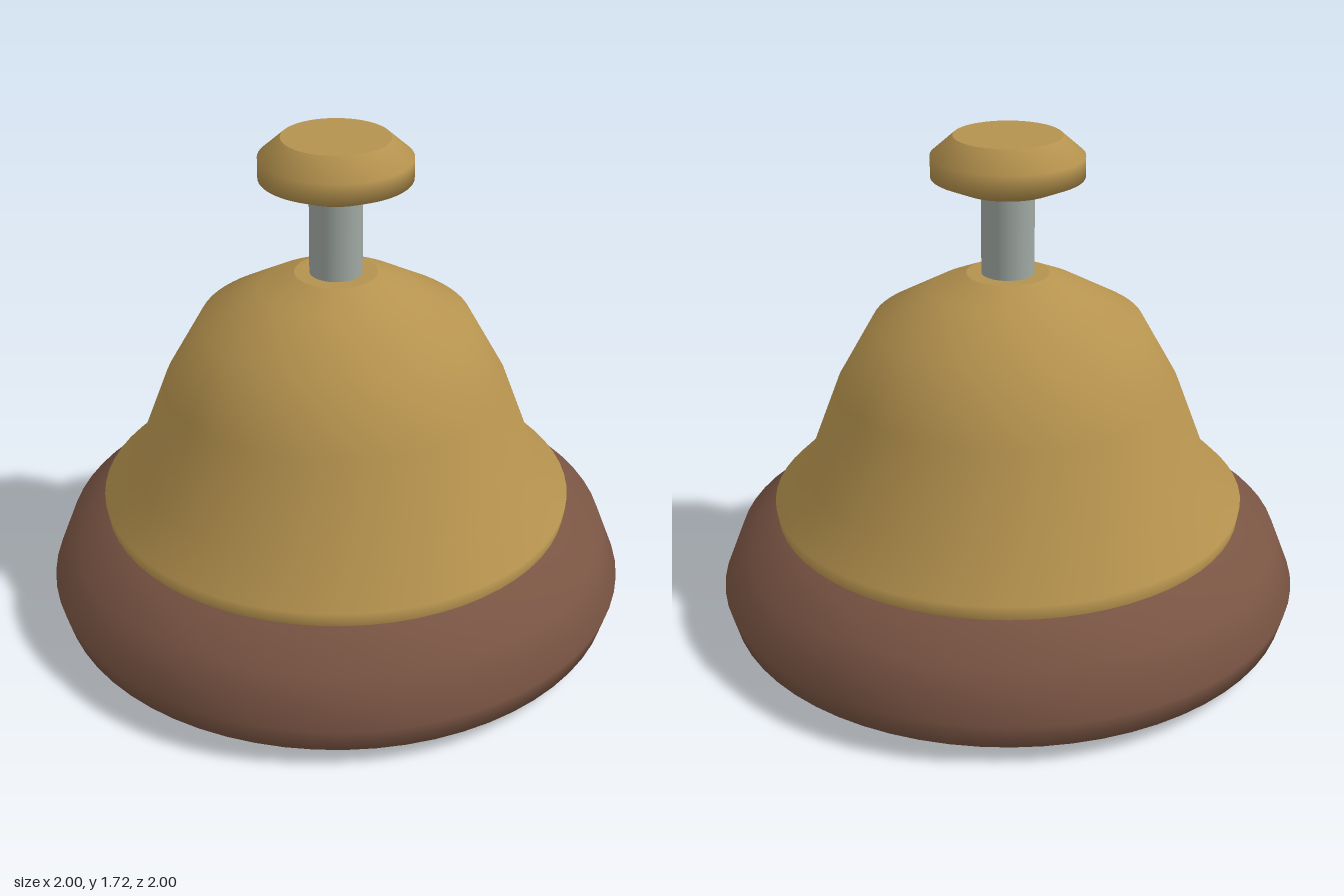
import * as THREE from 'three';
import { mergeGeometries } from 'three/addons/utils/BufferGeometryUtils.js';

const SIDES = 64;

// Each run of [radius, y] points is smooth; separate runs meet at a sharp edge.
function turned(name, material, ...runs) {
  const parts = runs.map((run) => {
    const g = new THREE.LatheGeometry(run.map(([r, y]) => new THREE.Vector2(r, y)), SIDES);
    g.normalizeNormals();
    return g;
  });
  const mesh = new THREE.Mesh(mergeGeometries(parts), material);
  mesh.name = name;
  return mesh;
}

function flat(name, color) {
  const material = new THREE.MeshStandardMaterial({ color });
  material.name = name;
  return material;
}

export function createModel() {
  const brass = flat('brass', 0xb5924e);
  const wood = flat('brown wood', 0x795443);
  const steel = flat('steel', 0xa0a9a3);

  const model = new THREE.Group();
  model.name = 'deskBell';

  // Rounded foot with a flat underside
  model.add(turned('base', wood,
    [[0, 0], [0.84, 0]],
    [[0.84, 0], [0.975, 0.065], [1, 0.155], [0.935, 0.32], [0.8, 0.41]],
    [[0.8, 0.41], [0, 0.41]]));

  // Flared dome with a short lip and a flat crown
  model.add(turned('dome', brass,
    [[0.8, 0.405], [0.808, 0.46], [0.692, 0.575], [0.58, 0.87], [0.455, 1.092], [0.255, 1.205], [0.138, 1.257]],
    [[0.138, 1.257], [0, 1.257]]));

  // Plunger stem
  const stem = new THREE.Mesh(new THREE.CylinderGeometry(0.088, 0.088, 0.38, SIDES), steel);
  stem.name = 'stem';
  stem.position.y = 1.38;
  model.add(stem);

  // Push button with flat top and underside
  model.add(turned('button', brass,
    [[0, 1.55], [0.165, 1.55]],
    [[0.165, 1.55], [0.252, 1.588], [0.252, 1.658], [0.178, 1.723]],
    [[0.178, 1.723], [0, 1.723]]));

  return model;
}
